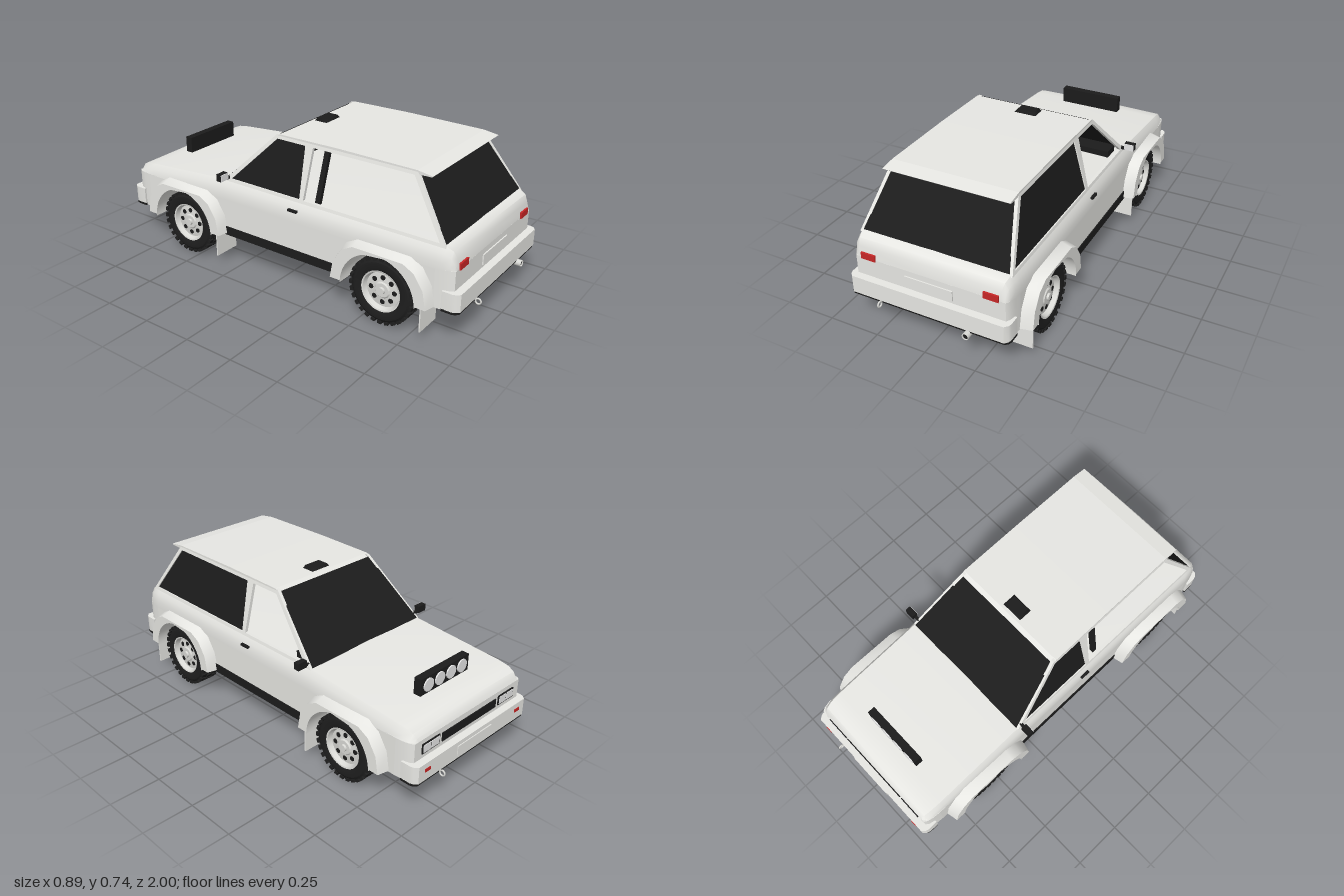
import * as THREE from 'three';
import { toCreasedNormals } from 'three/addons/utils/BufferGeometryUtils.js';

const mat = (name, color, side = THREE.FrontSide) => {
  const m = new THREE.MeshStandardMaterial({ color, side });
  m.name = name;
  return m;
};

export function createModel() {
  const car = new THREE.Group();
  car.name = 'rallyCar';
  const paint = mat('bodyPaint', 0xe9e9e5, THREE.DoubleSide);
  const glass = mat('darkGlass', 0x1c1c1c, THREE.DoubleSide);
  const black = mat('blackTrim', 0x1c1c1c);
  const rubber = mat('tyreRubber', 0x1e1e1e);
  const alloy = mat('wheelAlloy', 0xdadad6, THREE.DoubleSide);
  const lens = mat('lampLens', 0xe6e6e6);
  const red = mat('redLens', 0xc82626);

  const add = (name, geo, material, x = 0, y = 0, z = 0, parent = car) => {
    const m = new THREE.Mesh(geo, material);
    m.name = name;
    m.position.set(x, y, z);
    parent.add(m);
    return m;
  };
  // box given by its min and max corners
  const box = (name, material, x0, x1, y0, y1, z0, z1) =>
    add(name, new THREE.BoxGeometry(x1 - x0, y1 - y0, z1 - z0), material,
      (x0 + x1) / 2, (y0 + y1) / 2, (z0 + z1) / 2);
  const poly = (pts) => new THREE.Shape(pts.map((p) => new THREE.Vector2(...p)));
  // extrude a (z, y) outline across the car from x0 to x1
  const across = (shape, x0, x1) =>
    new THREE.ExtrudeGeometry(shape, { depth: x1 - x0, bevelEnabled: false, curveSegments: 24 })
      .rotateY(-Math.PI / 2).translate(x1, 0, 0);
  // upright block at the nose (dir -1) or tail (dir 1) from half a plan of (x, distance) points
  const endBlock = (name, material, half, y0, y1, dir) => {
    const plan = poly([...half, ...half.map(([x, z]) => [-x, z]).reverse()]);
    const g = new THREE.ExtrudeGeometry(plan, { depth: y1 - y0, bevelEnabled: false })
      .rotateX(-Math.PI / 2);
    if (dir > 0) g.rotateY(Math.PI);
    add(name, toCreasedNormals(g, 0.8), material, 0, y0, 0);
  };
  const bend = (geo, rule) => {
    const p = geo.attributes.position, v = new THREE.Vector3();
    for (let i = 0; i < p.count; i++) {
      rule(v.fromBufferAttribute(p, i));
      p.setXYZ(i, v.x, v.y, v.z);
    }
    geo.computeVertexNormals();
    return geo;
  };
  const quad = (name, pts, material) => {
    const g = new THREE.BufferGeometry();
    g.setAttribute('position', new THREE.Float32BufferAttribute(pts.flat(), 3));
    g.setIndex([0, 1, 2, 0, 2, 3]);
    g.computeVertexNormals();
    add(name, g, material);
  };
  const axles = [-0.565, 0.6], wheelY = 0.165, archR = 0.19;

  // lower body with wheel openings cut right through, and rounded ends
  const lower = poly([[0.85, 0.17], [0.85, 0.358], [-0.85, 0.358], [-0.85, 0.17]]);
  for (const z of axles) {
    lower.lineTo(z - archR, 0.17);
    lower.absarc(z, wheelY, archR, Math.PI, 0, true);
    lower.lineTo(z + archR, 0.17);
  }
  add('lowerBody', across(lower, -0.388, 0.388), paint);
  box('floor', paint, -0.3, 0.3, 0.165, 0.172, -0.9, 0.9);
  const endPlan = [[0.388, 0.85], [0.385, 0.89], [0.378, 0.92], [0.367, 0.936]];
  for (const dir of [-1, 1]) endBlock('bodyEnd', paint, endPlan, 0.17, 0.358, dir);

  // bonnet, shoulders and tail lofted from front to back: z, top height, half width
  const stations = [[-0.936, 0.355, 0.367], [-0.928, 0.375, 0.373], [-0.912, 0.395, 0.379],
    [-0.88, 0.409, 0.385], [-0.82, 0.417, 0.388], [-0.33, 0.455, 0.39], [0.84, 0.458, 0.39],
    [0.885, 0.458, 0.386], [0.915, 0.442, 0.379], [0.93, 0.41, 0.371], [0.936, 0.355, 0.367]];
  const pos = [], idx = [], ringSize = 9;
  stations.forEach(([z, t, w], i) => {
    const low = (d) => Math.max(0.355, t - d);
    const half = [[w, 0.355], [w, low(0.07)], [w - 0.008, low(0.03)], [w - 0.024, low(0.003)]];
    const ring = [...half, [0, t + 0.003], ...half.map(([x, y]) => [-x, y]).reverse()];
    ring.forEach(([x, y], j) => {
      pos.push(x, y, z);
      if (i && j) {
        const d = i * ringSize + j - 1, a = d - ringSize;
        idx.push(a, a + 1, d, a + 1, d + 1, d);
      }
    });
  });
  const upper = new THREE.BufferGeometry();
  upper.setAttribute('position', new THREE.Float32BufferAttribute(pos, 3));
  upper.setIndex(idx);
  add('upperBody', toCreasedNormals(upper, 0.7), paint);

  // cabin: roof with rear lip, side frames with window holes, glass
  add('roof', across(poly([[-0.055, 0.712], [-0.03, 0.73], [0.3, 0.734], [0.7, 0.73],
    [0.775, 0.719], [0.77, 0.714], [0.7, 0.712]]), -0.307, 0.307), paint);
  const sideX = (y) => 0.372 - (y - 0.452) * 0.24;
  const doorWindow = [[-0.285, 0.465], [0.128, 0.465], [0.122, 0.708], [-0.04, 0.708]];
  const rearWindow = [[0.15, 0.465], [0.855, 0.465], [0.69, 0.708], [0.165, 0.708]];
  const frame = poly([[-0.33, 0.45], [0.885, 0.45], [0.7, 0.728], [-0.045, 0.728]]);
  frame.holes.push(poly(doorWindow), poly(rearWindow));
  const cagePost = poly([[0.2, 0.455], [0.225, 0.455], [0.24, 0.715], [0.215, 0.715]]);
  for (const s of [-1, 1]) {
    add('sideWindowFrame', bend(across(frame, -0.008, 0.008), (v) => {
      v.x += s * (sideX(v.y) - 0.008);
    }), paint);
    add('cagePost', bend(across(cagePost, -0.01, 0.01), (v) => {
      v.x += s * (sideX(v.y) - 0.035);
    }), black);
    const pane = s > 0 ? rearWindow : doorWindow;
    quad('sideGlass', pane.map(([z, y]) => [s * (sideX(y) - 0.006), y, z]), glass);
  }
  quad('windscreen', [[-0.36, 0.455, -0.33], [0.36, 0.455, -0.33], [0.298, 0.72, -0.052],
    [-0.298, 0.72, -0.052]], glass);
  quad('rearGlass', [[-0.357, 0.46, 0.88], [0.357, 0.46, 0.88], [0.296, 0.712, 0.705],
    [-0.296, 0.712, 0.705]], glass);
  box('dashboard', black, -0.335, 0.335, 0.45, 0.485, -0.285, -0.2);
  const vent = new THREE.CylinderGeometry(0.062, 0.078, 0.014, 4, 1).rotateY(Math.PI / 4);
  add('roofVent', vent.scale(1, 1, 0.62), black, 0, 0.738, 0.02);

  // bumpers with a black lower lip
  const bumperPlan = (out) => [[0.395, 0.89], [0.395, 0.94], [0.39, 0.956], [0.375, out]];
  for (const dir of [-1, 1]) {
    endBlock('bumper', paint, bumperPlan(0.972), 0.18, 0.265, dir);
    endBlock('bumperLip', black, bumperPlan(0.968), 0.169, 0.181, dir);
  }

  // parts repeated on both sides
  for (const s of [-1, 1]) {
    const span = (name, m, a, b, ...rest) => box(name, m, Math.min(s * a, s * b), Math.max(s * a, s * b), ...rest);
    span('sill', black, 0.36, 0.393, 0.165, 0.21, -0.37, 0.41);
    span('doorHandle', black, 0.385, 0.398, 0.405, 0.416, 0.08, 0.13);
    span('mirrorStalk', black, 0.36, 0.395, 0.464, 0.476, -0.31, -0.295);
    span('mirrorHousing', black, 0.385, 0.436, 0.467, 0.502, -0.32, -0.292);
    span('mirrorGlass', lens, 0.386, 0.435, 0.468, 0.501, -0.292, -0.289);
    span('tailLight', red, 0.265, 0.337, 0.352, 0.383, 0.932, 0.942);
    span('headlightSurround', black, 0.208, 0.322, 0.288, 0.336, -0.941, -0.93);
    span('headlight', lens, 0.214, 0.262, 0.294, 0.33, -0.944, -0.936);
    span('headlight', lens, 0.268, 0.316, 0.294, 0.33, -0.944, -0.936);
    span('frontMarker', red, 0.302, 0.337, 0.222, 0.238, -0.975, -0.969);
    span('frontMudflap', paint, 0.29, 0.428, 0.05, 0.18, -0.353, -0.347);
    span('rearMudflap', paint, 0.29, 0.428, 0.05, 0.18, 0.81, 0.816);

    for (const z of axles) {
      // flared arch, its outer rim drawn in to slope the edge
      const flare = poly([[0.26, 0.175], [0.243, 0.27], [0.195, 0.345], [0.135, 0.378],
        [-0.135, 0.378], [-0.195, 0.345], [-0.243, 0.27], [-0.26, 0.175], [-archR, 0.175]]);
      flare.absarc(0, wheelY, archR, Math.PI, 0, true);
      flare.lineTo(archR, 0.175);
      const g = across(flare, s > 0 ? 0.375 : -0.444, s > 0 ? 0.444 : -0.375);
      add('wheelArch', toCreasedNormals(bend(g, (v) => {
        if (Math.abs(v.x) > 0.42 && Math.hypot(v.z, v.y - wheelY) > 0.2) {
          v.z *= 0.94;
          if (v.y > 0.2) v.y = wheelY + (v.y - wheelY) * 0.92;
        }
      }), 0.65), paint, 0, 0, z);

      // wheel, built around y and turned so its outer face points sideways
      const wheel = new THREE.Group();
      wheel.name = 'wheel';
      wheel.position.set(s * 0.358, wheelY, z);
      wheel.rotation.z = -s * Math.PI / 2;
      car.add(wheel);
      const lathe = (pts) => toCreasedNormals(
        new THREE.LatheGeometry(pts.map((p) => new THREE.Vector2(...p)), 36), 0.5);
      add('tyre', lathe([[0.1, -0.046], [0.115, -0.052], [0.14, -0.05], [0.155, -0.04],
        [0.155, 0.04], [0.14, 0.05], [0.115, 0.052], [0.1, 0.046]]), rubber, 0, 0, 0, wheel);
      add('rim', lathe([[0.1, -0.046], [0.092, 0], [0.1, 0.048], [0.093, 0.046], [0.085, 0.024],
        [0.04, 0.03], [0.034, 0.036], [0, 0.036]]), alloy, 0, 0, 0, wheel);
      add('hub', new THREE.CylinderGeometry(0.016, 0.018, 0.012, 12), alloy, 0, 0.04, 0, wheel);
      for (let i = 0; i < 8; i++) {
        const a = (i / 8) * Math.PI * 2;
        add('rimHole', new THREE.CylinderGeometry(0.012, 0.012, 0.006, 10), black,
          Math.cos(a) * 0.06, 0.027, Math.sin(a) * 0.06, wheel);
      }
      for (let i = 0; i < 28; i++) {
        for (const row of [-1, 0, 1]) {
          const a = ((i + (row ? 0 : 0.5)) / 28) * Math.PI * 2;
          add('treadBlock', new THREE.BoxGeometry(0.014, row ? 0.026 : 0.03, 0.02), rubber,
            Math.cos(a) * 0.156, row * 0.037, Math.sin(a) * 0.156, wheel).rotation.y = -a;
        }
      }
    }
  }

  // nose and tail details
  box('grille', black, -0.19, 0.19, 0.288, 0.33, -0.941, -0.93);
  box('frontPlate', paint, -0.12, 0.12, 0.195, 0.245, -0.976, -0.97);
  box('rearPlate', paint, -0.118, 0.118, 0.28, 0.33, 0.934, 0.942);
  quad('skidPlate', [[-0.25, 0.107, -0.905], [0.25, 0.107, -0.905], [0.25, 0.164, -0.715],
    [-0.25, 0.164, -0.715]], black);

  // bonnet lamp pod
  box('lampPod', black, -0.165, 0.165, 0.43, 0.512, -0.79, -0.752);
  for (let i = 0; i < 4; i++) {
    add('spotLamp', new THREE.CylinderGeometry(0.032, 0.032, 0.008, 24).rotateX(Math.PI / 2), lens,
      (i - 1.5) * 0.077, 0.471, -0.792);
  }

  // tow eyes and exhaust
  for (const s of [-1, 1]) {
    add('towEye', new THREE.TorusGeometry(0.013, 0.004, 8, 20).rotateY(Math.PI / 2), alloy,
      -s * 0.23, 0.168, s * 0.983);
  }
  add('exhaustPipe', new THREE.CylinderGeometry(0.016, 0.016, 0.16, 20, 1, true).rotateX(Math.PI / 2),
    alloy, 0.203, 0.161, 0.91);
  add('exhaustRim', new THREE.TorusGeometry(0.0145, 0.002, 6, 20), alloy, 0.203, 0.161, 0.99);
  add('exhaustBore', new THREE.CylinderGeometry(0.013, 0.013, 0.15, 20).rotateX(Math.PI / 2),
    black, 0.203, 0.161, 0.911);
  return car;
}
